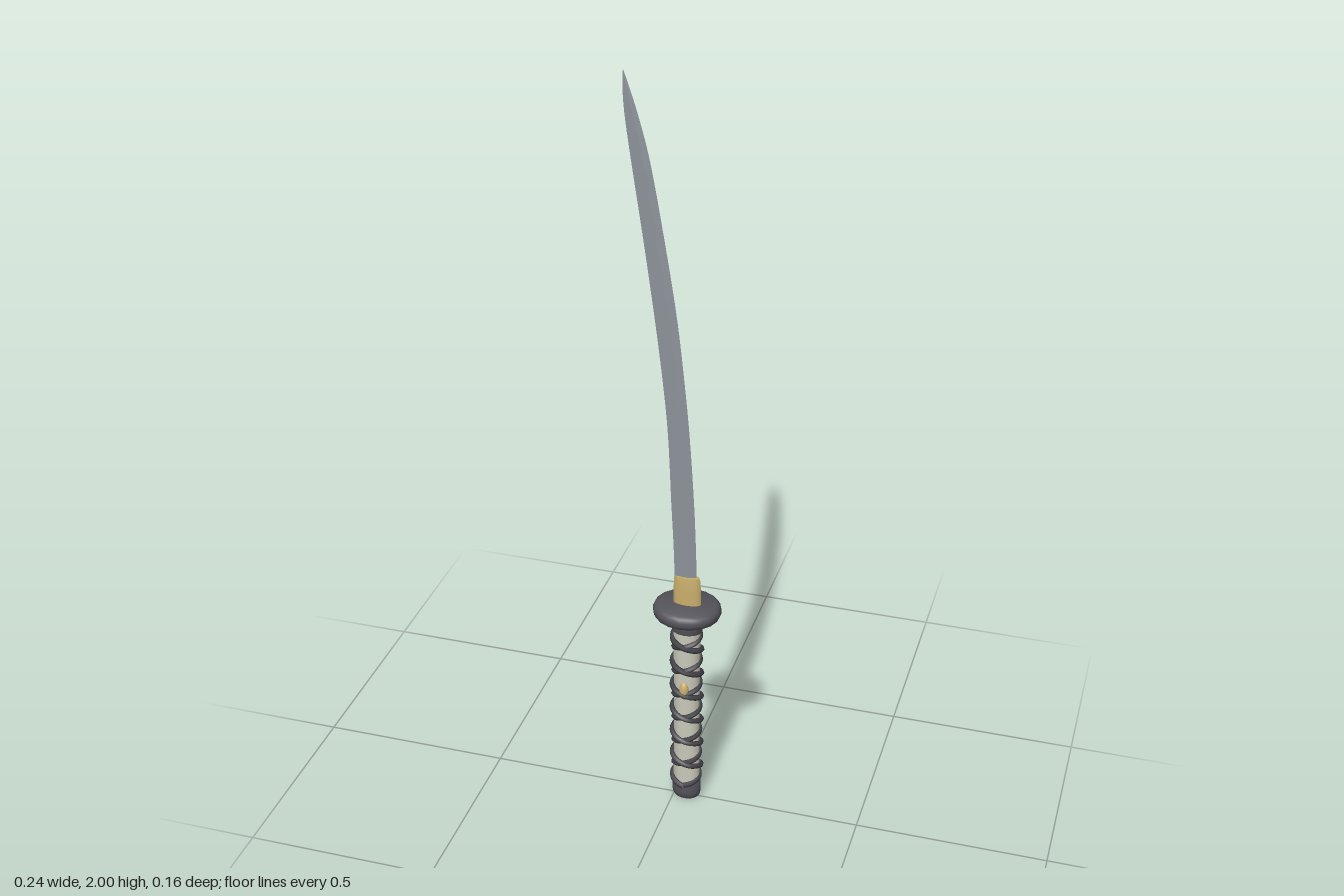
import * as THREE from 'three';
import { toCreasedNormals } from 'three/addons/utils/BufferGeometryUtils.js';

const CX = 0.034; // centre line of the hilt

export function createModel() {
  const model = new THREE.Group();
  const mat = (color) => new THREE.MeshStandardMaterial({ color });
  const steel = mat(0x8d929a), iron = mat(0x55545b), cord = mat(0x434248);
  const gold = mat(0xc9ae6c), skin = mat(0xc9c9ba);

  const add = (name, geometry, material) => {
    const mesh = new THREE.Mesh(geometry, material);
    mesh.name = name;
    model.add(mesh);
    return mesh;
  };

  // Turned part with an oval section: profile of [relative radius, y]
  const oval = (name, profile, rx, rz, sides, material, crease = 0.7) => {
    const points = profile.map(([r, y]) => new THREE.Vector2(r, y));
    const g = new THREE.LatheGeometry(points, sides);
    g.scale(rx, 1, rz);
    g.translate(CX, 0, 0);
    return add(name, toCreasedNormals(g, crease), material);
  };

  add('blade', bladeGeometry(), steel);

  oval('bladeCollar', [[0, 0.6], [1, 0.6], [0.98, 0.65], [0.93, 0.682], [0.86, 0.69], [0, 0.69]],
    0.037, 0.0145, 16, gold);

  oval('guard', [[0, 0.572], [0.86, 0.572], [0.95, 0.577], [1, 0.587], [1, 0.597], [0.95, 0.606], [0.86, 0.611], [0, 0.611]],
    0.0885, 0.079, 18, iron);

  oval('hiltFerrule', [[0, 0.528], [0.93, 0.528], [1, 0.535], [1, 0.575], [0, 0.575]], 0.041, 0.031, 16, iron);

  oval('gripCore', [[0, 0.03], [1, 0.03], [0.96, 0.29], [1, 0.55], [0, 0.55]], 0.036, 0.028, 16, skin);

  oval('pommel', [[0, 0], [0.78, 0], [0.92, 0.006], [1, 0.02], [1, 0.052], [0.93, 0.06], [0, 0.06]],
    0.039, 0.028, 16, iron);

  // Two cords wound in opposite directions, crossing on the flat faces
  const turns = 6.5, steps = 130;
  for (const dir of [1, -1]) {
    const path = [];
    for (let i = 0; i <= steps; i++) {
      const t = i / steps;
      const a = Math.PI / 2 + dir * t * turns * Math.PI * 2;
      const lift = dir * 0.002;
      path.push(new THREE.Vector3(
        CX + (0.036 + lift) * Math.cos(a),
        0.05 + 0.48 * t,
        (0.032 + lift) * Math.sin(a)));
    }
    const curve = new THREE.CatmullRomCurve3(path);
    add(dir > 0 ? 'gripCordA' : 'gripCordB', new THREE.TubeGeometry(curve, 210, 0.0075, 6), cord);
  }

  // Small ornaments tucked under the cords, one on each face
  for (const [name, y, z] of [['frontOrnament', 0.355, 0.027], ['backOrnament', 0.145, -0.027]]) {
    const ornament = add(name, new THREE.SphereGeometry(1, 12, 8), gold);
    ornament.scale.set(0.013, 0.026, 0.011);
    ornament.position.set(CX, y, z);
  }

  return model;
}

// Curved single-edged blade: sections of spine, ridge and cutting edge
function bladeGeometry() {
  // [spine x, y, edge x]
  const outline = new THREE.CatmullRomCurve3([
    [0.003, 0.61, 0.060], [0.000, 0.75, 0.057], [-0.007, 0.9, 0.051],
    [-0.016, 1.1, 0.038], [-0.029, 1.24, 0.025], [-0.048, 1.4, 0.007],
    [-0.075, 1.6, -0.024], [-0.104, 1.8, -0.060], [-0.117, 1.9, -0.086],
    [-0.121, 1.96, -0.105], [-0.12, 2.0, -0.119],
  ].map((p) => new THREE.Vector3(...p)));
  const rows = 40, position = [], index = [];
  for (let i = 0; i <= rows; i++) {
    const t = i / rows;
    const { x: spine, y, z: edge } = outline.getPoint(t);
    const ridge = THREE.MathUtils.lerp(spine, edge, 0.66);
    const thin = (0.0065 - 0.003 * t) * Math.min(1, (1 - t) * 6 + 0.1);
    position.push(
      spine, y, thin * 0.6,
      ridge, y, thin,
      edge, y, 0,
      ridge, y, -thin,
      spine, y, -thin * 0.6);
  }
  for (let i = 0; i < rows; i++) {
    for (let j = 0; j < 5; j++) {
      const a = i * 5 + j, b = i * 5 + (j + 1) % 5;
      index.push(a, b, b + 5, a, b + 5, a + 5);
    }
  }
  // Close the tip
  const top = rows * 5;
  for (let j = 1; j < 4; j++) index.push(top, top + j, top + j + 1);
  const g = new THREE.BufferGeometry();
  g.setAttribute('position', new THREE.Float32BufferAttribute(position, 3));
  g.setIndex(index);
  return toCreasedNormals(g, 0.12);
}
